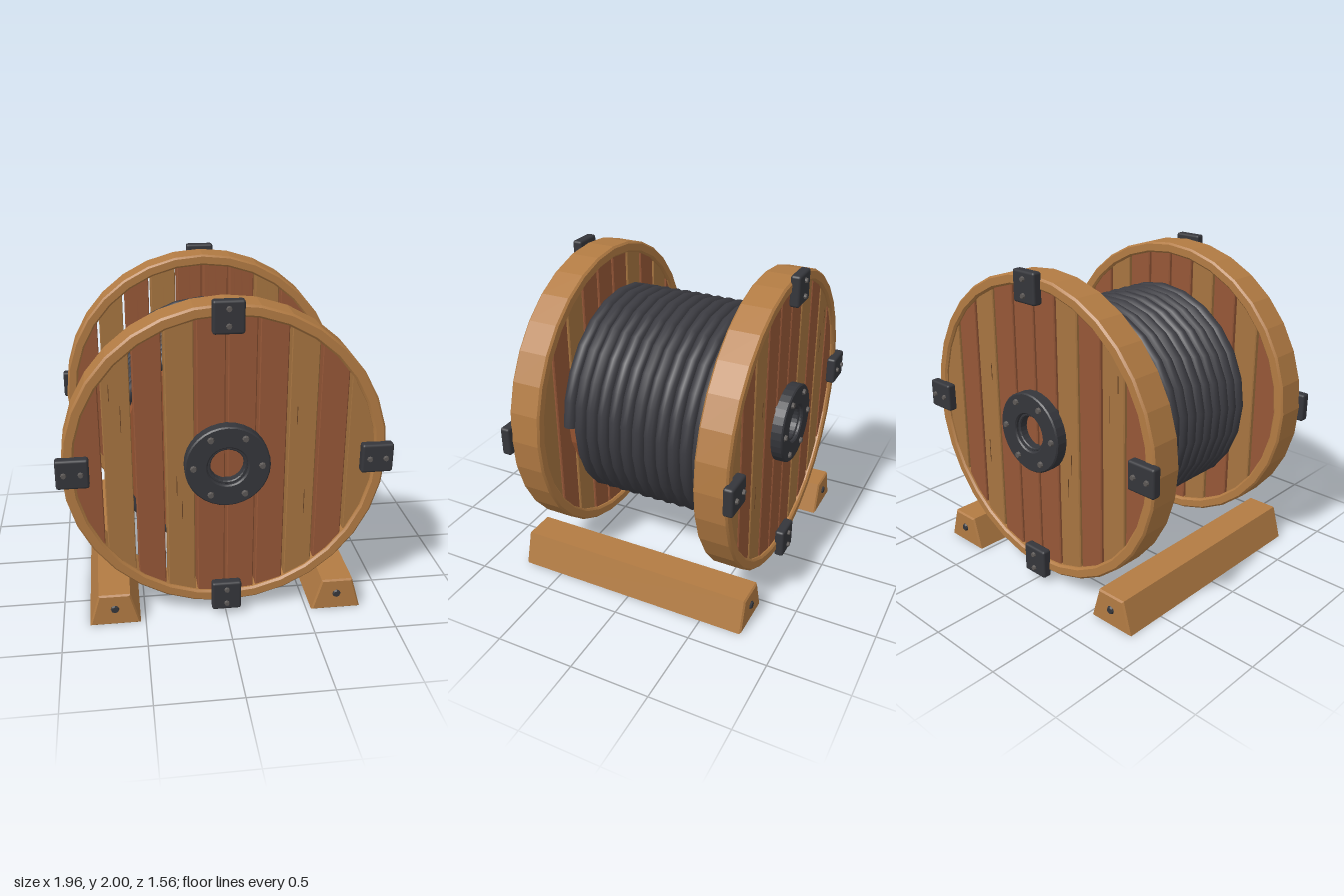
import * as THREE from 'three';
import { toCreasedNormals } from 'three/addons/utils/BufferGeometryUtils.js';
import { RoundedBoxGeometry } from 'three/addons/geometries/RoundedBoxGeometry.js';

const mat = (name, color) => {
  const m = new THREE.MeshStandardMaterial({ color });
  m.name = name;
  return m;
};
const M = {
  timber: mat('timber', 0xb27b43),
  lightPlank: mat('light plank', 0xa67440),
  redPlank: mat('red plank', 0x965737),
  core: mat('drum wood', 0x9c5733),
  grain: mat('wood grain', 0x6b4526),
  iron: mat('dark iron', 0x35363b),
  bolt: mat('bolt steel', 0x5c5856),
  cable: mat('cable rubber', 0x3b3b41),
};

const AXIS_Y = 1.02;
const RIM_R = 0.95, RIM_IN = 0.88;
const SIDES = 32;
const PITCH = 0.178, GAP = 0.014;

function add(parent, name, geometry, material, x = 0, y = 0, z = 0) {
  const mesh = new THREE.Mesh(geometry, material);
  mesh.name = name;
  mesh.position.set(x, y, z);
  parent.add(mesh);
  return mesh;
}

// Closed ring around z with bevelled edges, from z0 to z1
function ring(rIn, rOut, z0, z1, b, sides) {
  const p = [
    [rIn + b, z0], [rOut - b, z0], [rOut, z0 + b], [rOut, z1 - b],
    [rOut - b, z1], [rIn + b, z1], [rIn, z1 - b], [rIn, z0 + b], [rIn + b, z0],
  ].map(([r, z]) => new THREE.Vector2(r, z));
  return toCreasedNormals(new THREE.LatheGeometry(p, sides).rotateX(Math.PI / 2), 0.15);
}

// Bolt head facing +z, standing on z = 0
function boltGeometry(r, h) {
  return toCreasedNormals(new THREE.CylinderGeometry(r * 0.75, r, h, 8).rotateX(Math.PI / 2).translate(0, 0, h / 2), 0.15);
}

// Vertical board cut to the circle of the rim
function plankGeometry(x0, x1) {
  const b = 0.006, R = RIM_IN + 0.01, n = 6, top = [], bottom = [];
  for (let i = 0; i <= n; i++) {
    const x = x0 + b + (x1 - x0 - 2 * b) * i / n;
    const y = Math.sqrt(Math.max(R * R - x * x, 0.0004));
    bottom.push(new THREE.Vector2(x, -y));
    top.unshift(new THREE.Vector2(x, y));
  }
  return new THREE.ExtrudeGeometry(new THREE.Shape([...bottom, ...top]), {
    depth: 0.148, bevelEnabled: true, bevelSize: b, bevelThickness: b, bevelSegments: 1,
  }).translate(0, 0, -0.074);
}

// Iron hub ring, rim brackets and their bolts, on the +z face
function makeHardware() {
  const g = new THREE.Group();
  g.name = 'flangeHardware';
  add(g, 'hubPlate', ring(0.118, 0.25, 0.67, 0.755, 0.008, 32), M.iron);
  add(g, 'hubSleeve', ring(0.1, 0.122, 0.67, 0.735, 0.006, 24), M.iron);
  for (let i = 0; i < 6; i++) {
    const a = i * Math.PI / 3;
    add(g, 'hubBolt', boltGeometry(0.021, 0.016), M.bolt, 0.2 * Math.cos(a), 0.2 * Math.sin(a), 0.754);
  }
  for (let i = 0; i < 4; i++) {
    const bracket = new THREE.Group();
    bracket.name = 'rimBracket';
    bracket.rotation.z = i * Math.PI / 2;
    add(bracket, 'bracketPlate', new RoundedBoxGeometry(0.19, 0.18, 0.062, 2, 0.015), M.iron, 0.885, 0, 0.721);
    for (const s of [-1, 1]) add(bracket, 'bracketBolt', boltGeometry(0.018, 0.016), M.bolt, 0.885 + s * 0.048, 0, 0.75);
    g.add(bracket);
  }
  return g;
}

function makeFlange(side) {
  const g = new THREE.Group();
  g.name = side > 0 ? 'frontFlange' : 'backFlange';
  const zc = side * 0.6025;
  add(g, 'rim', ring(RIM_IN, RIM_R, -0.1025, 0.1025, 0.012, SIDES), M.timber, 0, 0, zc);

  // Ten boards with open gaps between them
  const light = [1, 3, 7, 9];
  for (let i = 0; i < 10; i++) {
    const left = (i - 5) * PITCH;
    const x0 = Math.max(left + GAP / 2, -0.885), x1 = Math.min(left + PITCH - GAP / 2, 0.885);
    add(g, 'plank', plankGeometry(x0, x1), light.includes(i) ? M.lightPlank : M.redPlank, 0, 0, zc);
  }

  // Short grain marks on the light boards
  const marks = [[-0.66, 0.46, 0.1], [-0.6, 0.3, 0.16], [-0.29, -0.14, 0.13], [-0.26, -0.3, 0.12], [0.41, 0.27, 0.11], [0.47, -0.29, 0.16]];
  for (const [x, y, h] of marks) {
    add(g, 'grainMark', new THREE.BoxGeometry(0.004, h, 0.003), M.grain, x, y, zc + side * 0.0805);
  }

  const hardware = makeHardware();
  if (side < 0) hardware.rotation.y = Math.PI;
  g.add(hardware);
  return g;
}

// Cable wound twelve turns, its tail tucked into the back flange
function makeCable() {
  const g = new THREE.Group();
  g.name = 'cable';
  const R = 0.65, r = 0.041, turns = 12, n = 24, zStart = 0.475, pitch = 0.0792, pts = [];
  for (let i = 0; i <= turns * n; i++) {
    const a = i / n * Math.PI * 2;
    pts.push(new THREE.Vector3(R * Math.cos(a), R * Math.sin(a), zStart - pitch * i / n));
  }
  for (const [a, rad, z] of [[0.2, 0.685, -0.5], [0.45, 0.685, -0.513], [0.75, 0.66, -0.54]]) {
    pts.push(new THREE.Vector3(rad * Math.cos(a), rad * Math.sin(a), z));
  }
  const curve = new THREE.CatmullRomCurve3(pts);
  curve.arcLengthDivisions = 2400;
  add(g, 'windings', new THREE.TubeGeometry(curve, turns * n + 4, r, 10), M.cable);
  add(g, 'cableEnd', new THREE.CircleGeometry(r, 10).rotateX(Math.PI / 2), M.cable, R, 0, zStart);
  return g;
}

// Trapezoid runner with a bolt at each end
function makeFoot(side) {
  const g = new THREE.Group();
  g.name = side > 0 ? 'leftFoot' : 'rightFoot';
  g.position.x = side * 0.685;
  const b = 0.01;
  const shape = new THREE.Shape([[-0.143, b], [0.143, b], [0.088, 0.2], [-0.088, 0.2]].map(([x, y]) => new THREE.Vector2(x, y)));
  const geo = new THREE.ExtrudeGeometry(shape, {
    depth: 1.52, bevelEnabled: true, bevelSize: b, bevelThickness: b, bevelSegments: 1,
  }).translate(0, 0, -0.76);
  add(g, 'runner', geo, M.timber);
  for (const s of [1, -1]) {
    const bolt = add(g, 'runnerBolt', boltGeometry(0.027, 0.012), M.iron, 0, 0.112, s * 0.769);
    if (s < 0) bolt.rotation.y = Math.PI;
  }
  return g;
}

export function createModel() {
  const model = new THREE.Group();
  model.name = 'cableReel';

  const reel = new THREE.Group();
  reel.name = 'reel';
  reel.position.y = AXIS_Y;
  const core = new THREE.CylinderGeometry(0.605, 0.605, 1.04, 24).rotateX(Math.PI / 2);
  add(reel, 'drumCore', toCreasedNormals(core, 0.15), M.core);
  reel.add(makeCable(), makeFlange(1), makeFlange(-1));

  model.add(reel, makeFoot(1), makeFoot(-1));
  return model;
}
